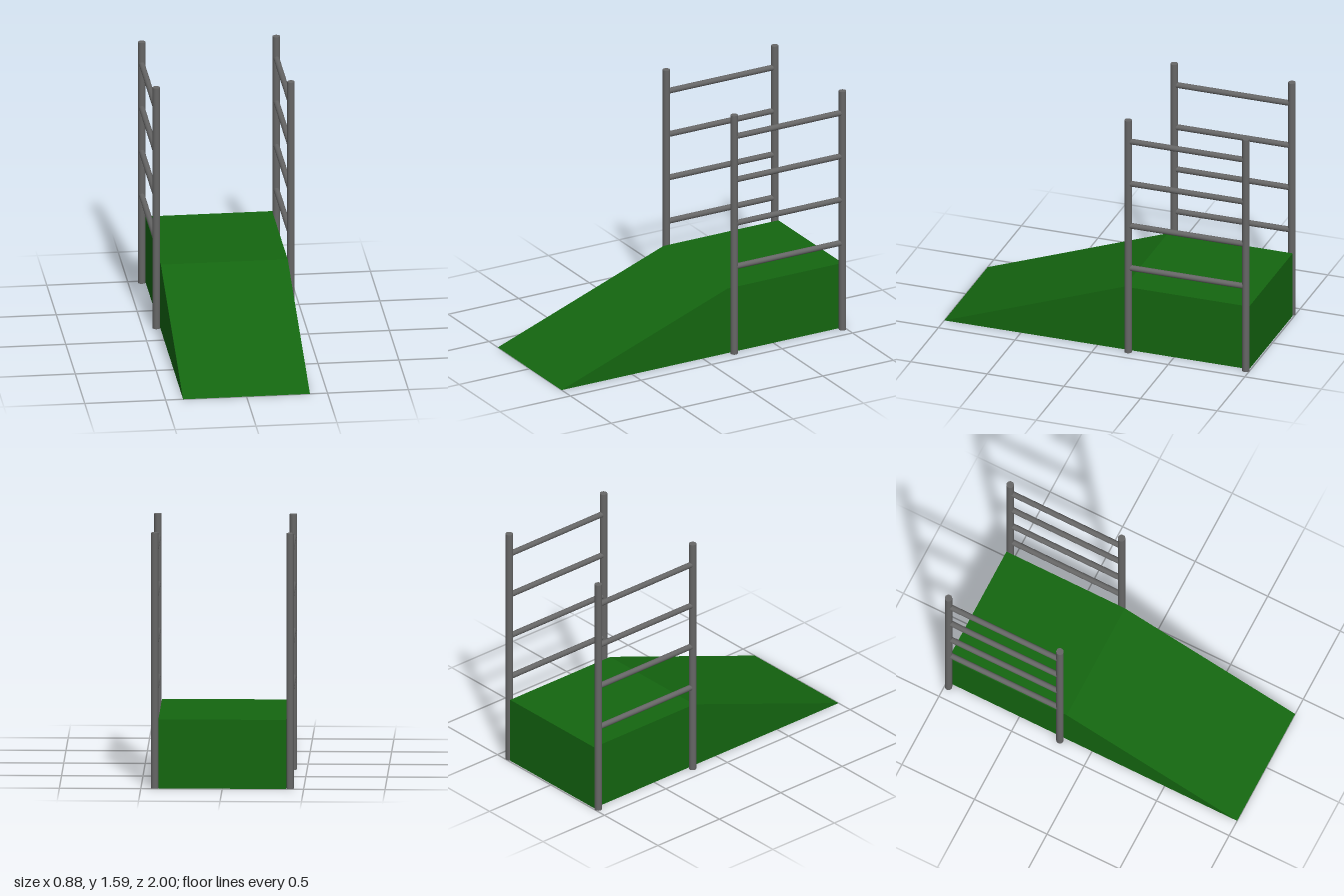
import * as THREE from 'three';

export function createModel() {
  const model = new THREE.Group();
  model.name = 'rampWithRailings';
  const green = new THREE.MeshStandardMaterial({ color: 0x146610 });
  const grey = new THREE.MeshStandardMaterial({ color: 0x666666 });

  // Ramp and platform: one side profile (z, y) extruded across the width
  const width = 0.784;
  const profile = new THREE.Shape([
    [1, 0], [-0.175, 0.429], [-0.99, 0.429], [-0.99, 0],
  ].map(([z, y]) => new THREE.Vector2(z, y)));
  const rampGeometry = new THREE.ExtrudeGeometry(profile, { depth: width, bevelEnabled: false });
  rampGeometry.translate(0, 0, -width / 2).rotateY(-Math.PI / 2);
  const ramp = new THREE.Mesh(rampGeometry, green);
  ramp.name = 'rampPlatform';
  model.add(ramp);

  // Railings: two posts joined by four horizontal bars on each side
  const height = 1.587, frontZ = -0.209, backZ = -0.977;
  const postGeometry = new THREE.CylinderGeometry(0.023, 0.023, height, 24);
  const barGeometry = new THREE.CylinderGeometry(0.018, 0.018, frontZ - backZ, 24).rotateX(Math.PI / 2);
  for (const [side, x] of [['left', 0.416], ['right', -0.416]]) {
    const railing = new THREE.Group();
    railing.name = side + 'Railing';
    for (const [end, z] of [['front', frontZ], ['back', backZ]]) {
      const post = new THREE.Mesh(postGeometry, grey);
      post.name = end + 'Post';
      post.position.set(x, height / 2, z);
      railing.add(post);
    }
    for (let i = 0; i < 4; i++) {
      const bar = new THREE.Mesh(barGeometry, grey);
      bar.name = 'bar' + (i + 1);
      bar.position.set(x, 0.577 + i * 0.2885, (frontZ + backZ) / 2);
      railing.add(bar);
    }
    model.add(railing);
  }
  return model;
}
